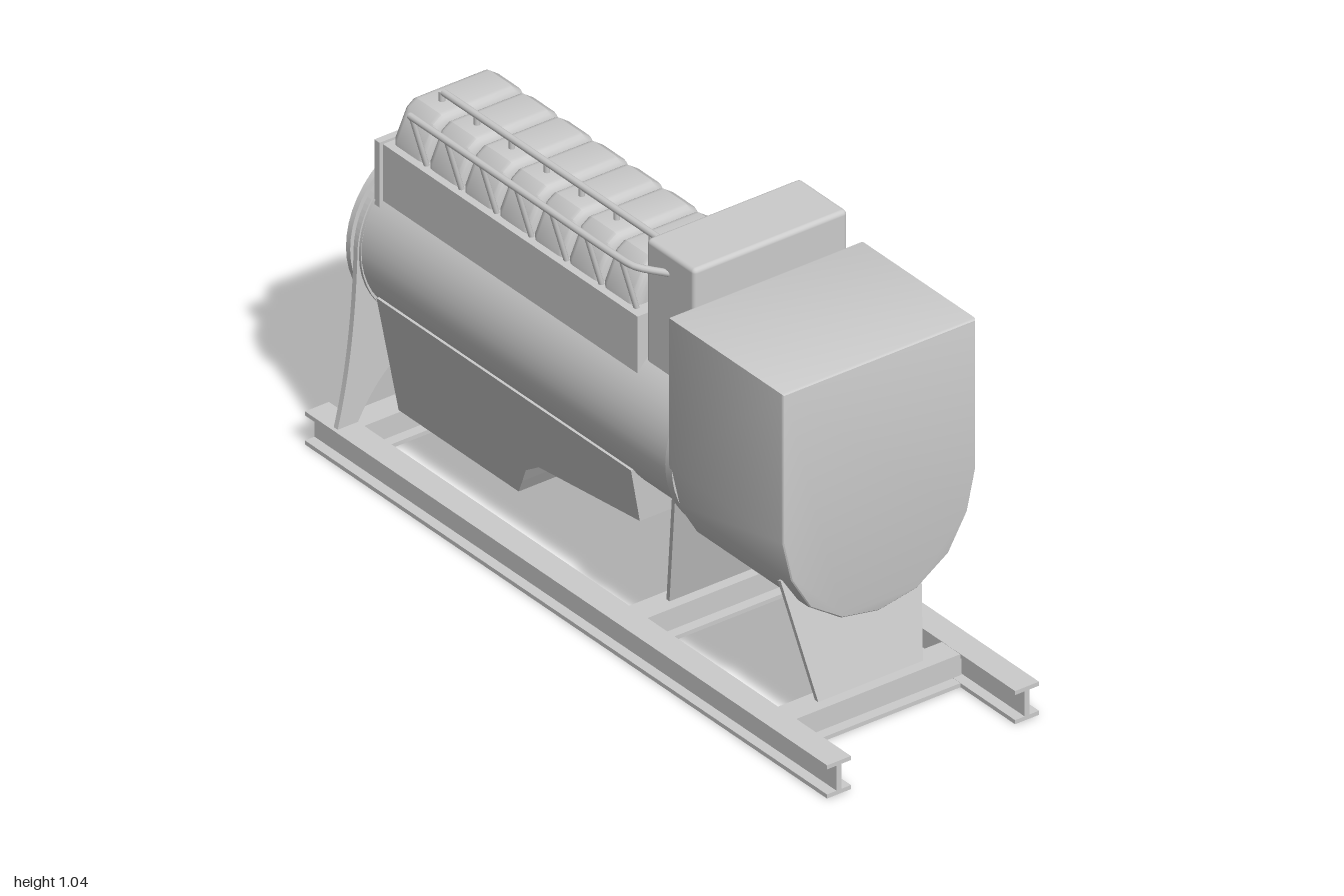
import * as THREE from 'three';
import { RoundedBoxGeometry } from 'three/addons/geometries/RoundedBoxGeometry.js';
import { toCreasedNormals } from 'three/addons/utils/BufferGeometryUtils.js';

const CX = -0.045; // centre line of engine and skid
const AXIS_Y = 0.545;
const grey = new THREE.MeshStandardMaterial({ color: 0xcccccc });
const thin = new THREE.MeshStandardMaterial({ color: 0xcccccc, side: THREE.DoubleSide });

export function createModel() {
  const root = new THREE.Group();

  const add = (name, geo, mat = grey, parent = root) => {
    const m = new THREE.Mesh(geo, mat);
    m.name = name;
    parent.add(m);
    return m;
  };
  const group = (name) => {
    const g = new THREE.Group();
    g.name = name;
    root.add(g);
    return g;
  };
  const shapeOf = (pts) => new THREE.Shape(pts.map(([x, y]) => new THREE.Vector2(x, y)));
  // Extrude an x-y outline from z0 to z1, with optional rounded ends
  const extrude = (shape, z0, z1, bevel = 0, segs = 3) => {
    const g = new THREE.ExtrudeGeometry(shape, {
      depth: z1 - z0 - 2 * bevel, bevelEnabled: bevel > 0, bevelSize: bevel,
      bevelThickness: bevel, bevelOffset: -bevel, bevelSegments: segs, curveSegments: 24,
    });
    g.translate(0, 0, z0 + bevel);
    return g;
  };
  const box = (name, x0, x1, y0, y1, z0, z1, r, parent) => {
    const g = r ? new RoundedBoxGeometry(x1 - x0, y1 - y0, z1 - z0, 3, r)
      : new THREE.BoxGeometry(x1 - x0, y1 - y0, z1 - z0);
    g.translate((x0 + x1) / 2, (y0 + y1) / 2, (z0 + z1) / 2);
    return add(name, g, grey, parent);
  };
  // Straight round pipe between two points
  const pipe = (name, a, b, r, parent) => {
    const p = new THREE.Vector3(...a), q = new THREE.Vector3(...b);
    const m = add(name, new THREE.CylinderGeometry(r, r, p.distanceTo(q), 10), grey, parent);
    m.position.copy(p).lerp(q, 0.5);
    m.quaternion.setFromUnitVectors(new THREE.Vector3(0, 1, 0), q.sub(p).normalize());
    return m;
  };

  // Skid of I-beams
  const skid = group('skid');
  const W = 0.035, H = 0.09, F = 0.011, T = 0.007;
  const iBeam = shapeOf([[-W, 0], [W, 0], [W, F], [T, F], [T, H - F], [W, H - F],
    [W, H], [-W, H], [-W, H - F], [-T, H - F], [-T, F], [-W, F]]);
  for (const s of [-1, 1]) {
    add('skidRail', extrude(iBeam, -1, 1), grey, skid).position.x = CX + s * 0.275;
  }
  for (const z of [0.755, 0.185, -0.9]) {
    const c = add('crossBeam', extrude(iBeam, -0.265, 0.265), grey, skid);
    c.rotation.y = Math.PI / 2;
    c.position.set(CX, -0.0005, z);
    c.scale.y = 0.998;
  }

  // Sloping support legs
  const leg = (name, z, tilt, len, topHalf) => {
    const s = shapeOf([[-0.153, 0], [0.153, 0], [topHalf, len], [-topHalf, len]]);
    const m = add(name, extrude(s, -0.006, 0.006));
    m.position.set(CX, 0.088, z);
    m.rotation.x = tilt;
  };
  leg('frontLeg', 0.755, -0.24, 0.32, 0.205);
  leg('middleLeg', 0.185, 0.25, 0.35, 0.203);

  // Front housing with a faceted round bottom
  const hx = -0.0075;
  const right = [[0.283, 0.95], [0.283, 0.545], [0.258, 0.435], [0.203, 0.342], [0.11, 0.28]];
  const outline = [...right.map(([x, y]) => [hx + x, y]), [hx, 0.26],
    ...right.slice().reverse().map(([x, y]) => [hx - x, y])].reverse();
  add('frontHousing', toCreasedNormals(extrude(shapeOf(outline), 0.305, 0.747, 0.008), 0.5));

  // Control box
  box('controlBox', -0.205, 0.245, 0.67, 1.04, 0.11, 0.295, 0.012);

  // Barrel with front flange and domed rear cover, turned about the z axis
  const turned = (name, pts) => {
    const g = new THREE.LatheGeometry(pts.map(([r, z]) => new THREE.Vector2(r, z)), 48);
    g.rotateX(-Math.PI / 2); // profile height runs toward the rear
    const m = add(name, toCreasedNormals(g, 0.5), thin);
    m.position.set(CX, AXIS_Y, 0);
  };
  turned('barrel', [[0, -0.32], [0.245, -0.32], [0.245, -0.295], [0.23, -0.295], [0.23, 0.89], [0, 0.89]]);
  turned('rearCover', [[0.238, 0.88], [0.238, 0.908], [0.228, 0.908], [0.228, 0.916], [0.242, 0.916],
    [0.242, 0.932], [0.225, 0.936], [0.205, 0.948], [0.17, 0.957], [0.1, 0.962], [0, 0.964]]);

  // Rear end plate with arched feet
  const plate = new THREE.Shape();
  plate.moveTo(CX - 0.3, 0.09);
  plate.lineTo(CX - 0.24, 0.09);
  plate.quadraticCurveTo(CX - 0.15, 0.26, CX, 0.265);
  plate.quadraticCurveTo(CX + 0.15, 0.26, CX + 0.24, 0.09);
  plate.lineTo(CX + 0.3, 0.09);
  plate.quadraticCurveTo(CX + 0.25, 0.28, CX + 0.242, AXIS_Y);
  plate.absarc(CX, AXIS_Y, 0.242, 0, Math.PI, false);
  plate.quadraticCurveTo(CX - 0.25, 0.28, CX - 0.3, 0.09);
  add('rearPlate', extrude(plate, -0.903, -0.888));

  // Sump, narrowing toward the bottom
  const side = shapeOf([[-0.105, 0.42], [-0.1, 0.27], [0.3, 0.22], [0.36, 0.18],
    [0.385, 0.135], [0.41, 0.092], [0.87, 0.092], [0.87, 0.42]]);
  const sump = extrude(side, -1, 1).rotateY(Math.PI / 2);
  const sp = sump.attributes.position;
  for (let i = 0; i < sp.count; i++) {
    sp.setX(i, CX + sp.getX(i) * (0.135 + 0.065 * (sp.getY(i) - 0.09) / 0.33));
  }
  sump.computeVertexNormals();
  add('sump', sump);

  // Upper block on the barrel
  box('upperBlock', -0.23, 0.14, 0.6, 0.835, -0.87, 0.11);
  box('upperBlockEnd', -0.24, 0.15, 0.6, 0.842, -0.885, -0.865);

  // Seven cylinder covers, each with a top, middle and lower panel
  const N = 7, PITCH = 0.134, Z0 = 0.075;
  const panels = [
    ['topCover', [[-0.21, 0.8], [0.12, 0.8], [0.12, 0.85], [0.085, 0.925], [0.06, 0.943],
      [-0.15, 0.943], [-0.175, 0.925], [-0.21, 0.85]], 0.024],
    ['middlePanel', [[0.06, 0.7], [0.165, 0.7], [0.15, 0.825], [0.06, 0.825]], 0.012],
    ['lowerPanel', [[0.08, 0.458], [0.165, 0.458], [0.203, 0.49], [0.205, 0.64], [0.175, 0.69], [0.08, 0.69]], 0.012],
  ];
  const covers = group('cylinderCovers');
  for (const [name, pts, bevel] of panels) {
    const g = toCreasedNormals(extrude(shapeOf(pts), -0.064, 0.064, bevel, 4), 0.6);
    for (let i = 0; i < N; i++) {
      add(name, g, grey, covers).position.z = Z0 - PITCH * (i + 0.5);
    }
  }

  // Pipe runs along the cover side
  const rails = group('sidePipes');
  pipe('upperPipe', [0.145, 0.835, 0.12], [0.145, 0.835, -0.86], 0.008, rails);
  pipe('middlePipe', [0.195, 0.697, 0.11], [0.195, 0.697, -0.85], 0.008, rails);
  pipe('lowerPipe', [0.195, 0.437, 0.305], [0.195, 0.437, -0.85], 0.008, rails);
  for (let i = 0; i <= N; i++) {
    const z = Z0 - PITCH * i;
    pipe('lowerBranch', [0.198, 0.437, z], [0.198, 0.697, z], 0.005, rails);
    pipe('upperBranch', [0.19, 0.697, z], [0.145, 0.835, z], 0.005, rails);
    pipe('lowerStub', [0.15, 0.45, z], [0.21, 0.437, z], 0.007, rails);
  }

  // Pipe above the top covers, with a stub into each
  const topPipe = group('topPipe');
  pipe('topPipeRun', [-0.11, 0.968, 0.12], [-0.11, 0.968, -0.79], 0.009, topPipe);
  for (let i = 0; i < N; i++) {
    const z = Z0 - PITCH * (i + 0.5);
    pipe('topPipeStub', [-0.11, 0.93, z], [-0.11, 0.968, z], 0.008, topPipe);
  }

  // Raised rail on the far side, bent in to the control box
  const sideRail = group('raisedRail');
  const bend = new THREE.CatmullRomCurve3([[-0.25, 0.982, -0.735], [-0.25, 0.982, -0.3], [-0.25, 0.982, 0.07],
    [-0.245, 0.982, 0.12], [-0.195, 0.982, 0.2]].map((p) => new THREE.Vector3(...p)));
  add('raisedRailRun', new THREE.TubeGeometry(bend, 40, 0.009, 10), thin, sideRail);
  for (let i = 0; i < N; i++) {
    const z = Z0 - PITCH * i;
    pipe('raisedRailPost', [-0.25, 0.982, z], [-0.205, 0.83, z], 0.007, sideRail);
  }

  // Flared outlet horn: rings growing along a curve
  const path = new THREE.QuadraticBezierCurve3(new THREE.Vector3(0.1, 0.3, 0.53),
    new THREE.Vector3(0.2, 0.28, 0.53), new THREE.Vector3(0.318, 0.422, 0.53));
  const horn = new THREE.CylinderGeometry(1, 1, 1, 24, 20, true);
  const hp = horn.attributes.position;
  for (let i = 0; i < hp.count; i++) {
    const t = hp.getY(i) + 0.5;
    const r = 0.014 + 0.024 * t + 0.034 * t ** 5;
    const c = path.getPoint(t), d = path.getTangent(t);
    const x = hp.getX(i) * r, z = hp.getZ(i) * r;
    hp.setXYZ(i, c.x + x * d.y, c.y - x * d.x, c.z + z);
  }
  horn.computeVertexNormals();
  add('outletHorn', horn, thin);

  return root;
}
